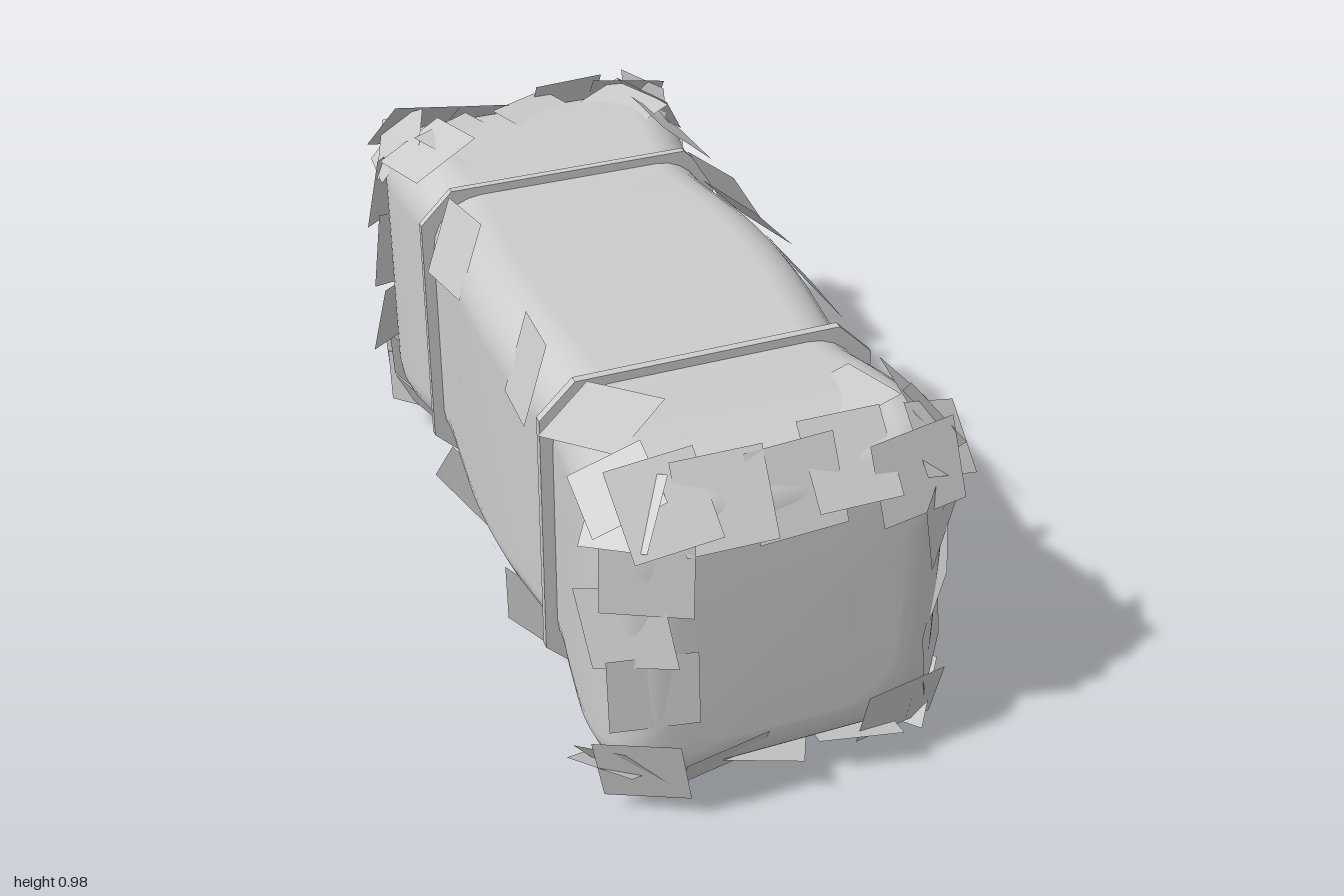
import * as THREE from 'three';

const MID_Y = 0.51;

// Small seeded generator, returns -1..1
function makeRandom(seed) {
  return () => {
    seed = (seed * 16807) % 2147483647;
    return (seed / 2147483647) * 2 - 1;
  };
}

// Rounded rectangle outline, counter-clockwise
function roundedSection(hx, hy, r, steps) {
  const points = [];
  for (let corner = 0; corner < 4; corner++) {
    const sx = corner === 0 || corner === 3 ? 1 : -1;
    const sy = corner < 2 ? 1 : -1;
    for (let i = 0; i <= steps; i++) {
      const a = (corner + i / steps) * Math.PI / 2;
      points.push([sx * (hx - r) + r * Math.cos(a), sy * (hy - r) + r * Math.sin(a)]);
    }
  }
  return points;
}

// Bulging bale body, pinched where the straps sit
function bodyGeometry() {
  // z, half width, half height
  const half = [
    [0.95, 0.26, 0.28], [0.938, 0.325, 0.345], [0.905, 0.373, 0.388], [0.85, 0.4, 0.413],
    [0.75, 0.41, 0.418], [0.6, 0.393, 0.403], [0.47, 0.375, 0.385], [0.3, 0.387, 0.395], [0.15, 0.4, 0.405],
  ];
  const rows = [...half.map(([z, w, h]) => [-z, w, h]), [0, 0.404, 0.408], ...half.slice().reverse()];
  const curve = new THREE.CatmullRomCurve3(rows.map((r) => new THREE.Vector3(r[1], r[2], r[0])));
  const rings = curve.getPoints(72);
  const positions = [], index = [];
  let n = 0;
  for (const p of rings) {
    const section = roundedSection(p.x, p.y, 0.135, 6);
    n = section.length;
    for (const [x, y] of section) positions.push(x, y + MID_Y, p.z);
  }
  for (let j = 0; j < rings.length - 1; j++) {
    for (let i = 0; i < n; i++) {
      const a = j * n + i, b = j * n + (i + 1) % n;
      index.push(a, b, b + n, a, b + n, a + n);
    }
  }
  // End caps
  const back = positions.length / 3, front = back + 1, last = (rings.length - 1) * n;
  positions.push(0, MID_Y, -0.957, 0, MID_Y, 0.957);
  for (let i = 0; i < n; i++) {
    const k = (i + 1) % n;
    index.push(back, k, i, front, last + i, last + k);
  }
  const g = new THREE.BufferGeometry();
  g.setAttribute('position', new THREE.Float32BufferAttribute(positions, 3));
  g.setIndex(index);
  g.computeVertexNormals();
  return g;
}

// Eight-sided band with a rectangular section
function strapGeometry() {
  const octagon = (hx, hy, c) => [
    [hx, c - hy], [hx, hy - c], [hx - c, hy], [c - hx, hy],
    [-hx, hy - c], [-hx, c - hy], [c - hx, -hy], [hx - c, -hy],
  ].map(([x, y]) => new THREE.Vector2(x, y));
  const shape = new THREE.Shape(octagon(0.405, 0.41, 0.085));
  shape.holes.push(new THREE.Path(octagon(0.36, 0.365, 0.075)));
  const g = new THREE.ExtrudeGeometry(shape, { depth: 0.02, bevelEnabled: false });
  return g.translate(0, 0, -0.01);
}

// Loose straw tufts: x, y, z, spin in degrees
const FRONT_TUFTS = [
  [-0.29, 0.9, 0.93, 8], [-0.16, 0.88, 0.94, 0], [0, 0.87, 0.94, 3], [0.13, 0.91, 0.93, 0],
  [0.28, 0.84, 0.94, 8], [-0.34, 0.73, 0.95, 0], [-0.4, 0.58, 0.94, 15], [-0.32, 0.41, 0.95, 2],
  [-0.34, 0.17, 0.93, 6], [-0.14, 0.16, 0.92, 10], [-0.02, 0.09, 0.87, 25], [0.29, 0.18, 0.94, 4],
  [0.4, 0.31, 0.89, 8], [0.4, 0.53, 0.88, 18], [0.37, 0.71, 0.93, 16], [0.2, 0.1, 0.88, 10],
];
const BACK_TUFTS = [
  [-0.3, 0.91, -0.92, 10], [-0.14, 0.88, -0.95, 0], [0.14, 0.88, -0.95, 4],
  [0.32, 0.89, -0.93, 8], [0.4, 0.71, -0.89, 5], [0.4, 0.48, -0.89, 8], [0.39, 0.29, -0.93, 28],
  [0.3, 0.15, -0.93, 10], [0.1, 0.13, -0.92, 20], [-0.12, 0.12, -0.92, 5], [-0.32, 0.16, -0.93, 12],
  [-0.39, 0.34, -0.92, 5], [-0.39, 0.54, -0.92, 20], [-0.39, 0.74, -0.92, 8],
];
const SIDE_TUFTS = [
  [0.37, 0.91, 0.2, 12], [0.37, 0.1, 0.13, 10], [0.36, 0.11, -0.2, 15], [0.41, 0.21, -0.3, 42],
  [0.38, 0.89, -0.3, 5], [0.37, 0.9, -0.15, 14], [0.37, 0.91, -0.66, 5], [0.41, 0.17, -0.75, 0],
  [0.39, 0.88, 0.76, 3], [0.36, 0.1, 0.68, 18],
  [-0.39, 0.88, -0.27, 8], [-0.39, 0.87, 0.3, 6], [-0.4, 0.14, 0.1, 15], [-0.38, 0.12, -0.28, 30],
  [-0.38, 0.12, 0.28, 12], [-0.37, 0.13, -0.68, 8], [-0.32, 0.94, 0.62, 38], [-0.32, 0.94, -0.72, 15],
  [-0.2, 0.94, -0.73, 30], [0.04, 0.94, -0.8, 28], [0.24, 0.94, -0.77, 25], [0.18, 0.94, 0.74, 8],
];

export function createModel() {
  const model = new THREE.Group();
  const material = new THREE.MeshStandardMaterial({ color: 0xcccccc });
  const thin = new THREE.MeshStandardMaterial({ color: 0xcccccc, side: THREE.DoubleSide });
  const random = makeRandom(4217);

  const body = new THREE.Mesh(bodyGeometry(), material);
  body.name = 'baleBody';
  model.add(body);

  const strap = strapGeometry();
  for (const z of [0.458, -0.485]) {
    const band = new THREE.Mesh(strap, material);
    band.name = z > 0 ? 'frontStrap' : 'backStrap';
    band.position.set(0, 0.508, z);
    model.add(band);
  }

  // Each tuft is a flat square laid on the nearest rounded surface, slightly tilted
  const tufts = new THREE.Group();
  tufts.name = 'strawTufts';
  model.add(tufts);
  const square = new THREE.PlaneGeometry(0.2, 0.2);
  const core = new THREE.Vector3(0.28, 0.3, 0.82);
  function addTuft([x, y, z, spin], tilt, size, lift) {
    const p = new THREE.Vector3(x, y - MID_Y, z);
    const inner = p.clone().clamp(core.clone().negate(), core);
    const normal = p.sub(inner).normalize();
    const tuft = new THREE.Mesh(square, thin);
    tuft.name = 'strawTuft';
    tuft.position.copy(inner).addScaledVector(normal, lift);
    tuft.position.y += MID_Y;
    tuft.lookAt(tuft.position.clone().add(normal));
    tuft.rotateX(random() * tilt);
    tuft.rotateY(random() * tilt);
    tuft.rotateZ(THREE.MathUtils.degToRad(spin));
    tuft.scale.setScalar(size);
    tufts.add(tuft);
  }
  for (const t of FRONT_TUFTS) addTuft(t, 0.15, 1, 0.125);
  for (const t of BACK_TUFTS) addTuft(t, 0.2, 1, 0.13);
  for (const t of SIDE_TUFTS) addTuft(t, 0.22, 1, 0.115);

  // Extra clusters on the eight corners
  for (const sx of [-1, 1]) for (const sy of [-1, 1]) for (const sz of [-1, 1]) {
    for (const [dx, dy, dz] of [[0.4, 0.38, 0.9], [0.39, 0.41, 0.84]]) {
      addTuft([sx * dx, MID_Y + sy * dy, sz * dz, random() * 45], 0.4, 0.85, 0.115);
    }
  }
  return model;
}
